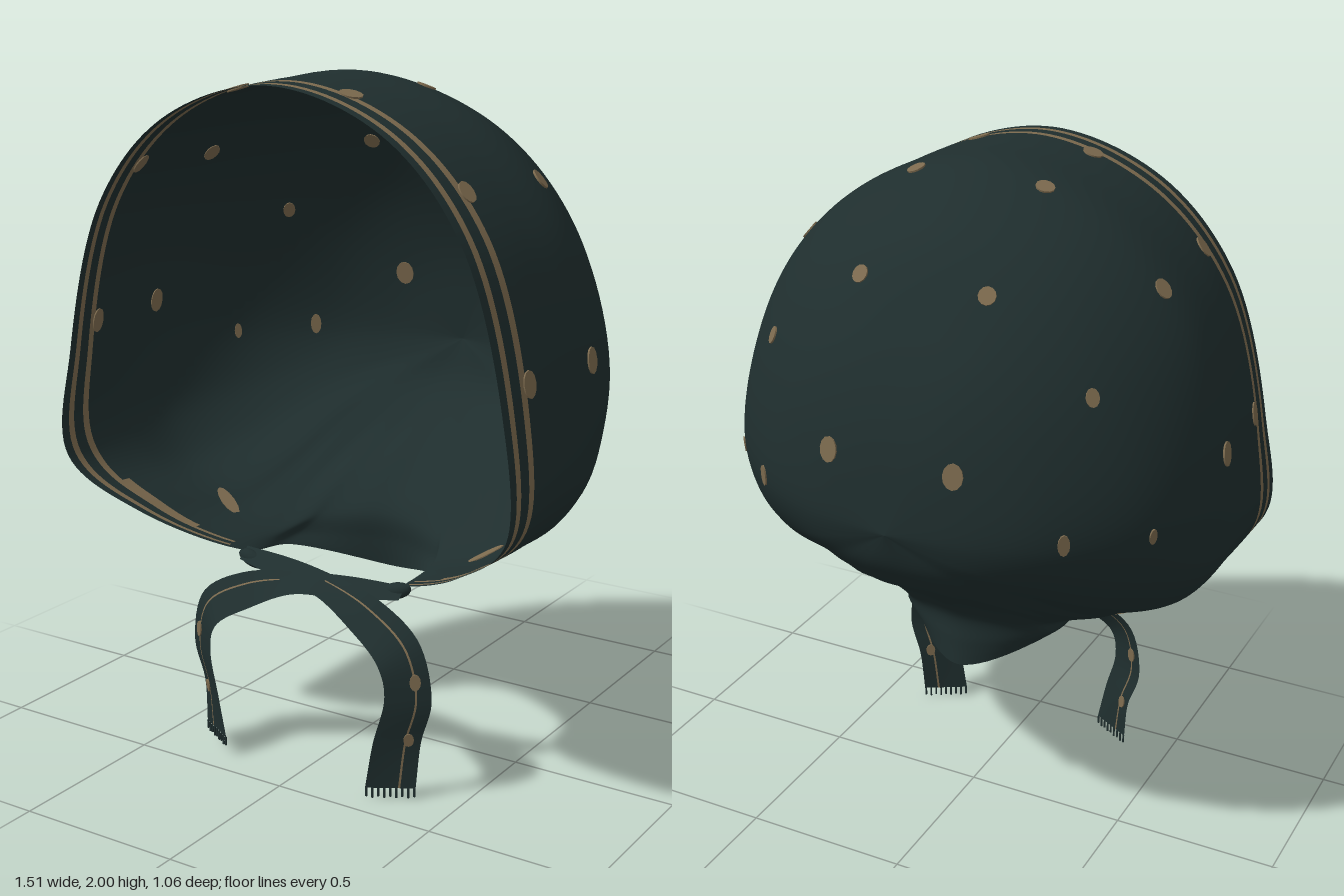
import * as THREE from 'three';

const V = (a) => new THREE.Vector3(...a);

// Half loops of the hood, from crown (x = 0) down the +x side to the nape
const LOOPS = [
  // face edge and neck hem
  [[0, 1.99, .515], [.35, 1.885, .515], [.58, 1.64, .515], [.712, 1.2, .515], [.732, .88, .522], [.54, .72, .44], [.28, .6, .28], [.24, .565, .08], [0, .485, -.11]],
  [[0, 2, .27], [.375, 1.885, .27], [.625, 1.62, .27], [.74, 1.18, .27], [.722, .87, .27], [.52, .7, .25], [.29, .61, .2], [.24, .585, .03], [0, .56, -.105]],
  [[0, 1.995, .04], [.38, 1.88, .03], [.64, 1.6, .02], [.748, 1.15, .02], [.69, .84, .05], [.46, .69, .08], [.3, .63, .07], [.2, .64, -.04], [0, .65, -.105]],
  [[0, 1.875, -.22], [.33, 1.79, -.2], [.54, 1.54, -.22], [.65, 1.14, -.22], [.58, .88, -.16], [.4, .76, -.1], [.3, .71, -.09], [.17, .74, -.16], [0, .76, -.21]],
  [[0, 1.655, -.38], [.22, 1.6, -.39], [.38, 1.42, -.4], [.45, 1.12, -.405], [.42, .97, -.35], [.31, .9, -.32], [.22, .88, -.34], [.12, .88, -.37], [0, .89, -.39]],
];
const POLE = [0, 1.12, -.53];

// Spots on the hood, mirrored in x: position, half width, half height
const SPOTS = [
  [.195, 1.77, -.31, .025, .026], [.5, 1.53, -.29, .019, .026], [.46, 1.14, -.38, .017, .032], [.19, 1.32, -.49, .029, .037],
  [.2, 1.97, .035, .027, .027], [.56, 1.74, .03, .026, .03], [.75, 1.27, .08, .026, .037], [.63, 1.13, -.2, .012, .024],
  [.18, 1.96, .39, .035, .03], [.53, 1.74, .39, .026, .032], [.75, 1.27, .39, .026, .037], [.45, .68, .12, .022, .06],
];

// Tie: centre x, y, z and half-width vector x, y, z
const TIE = [
  [-.28, .59, .275, 0, .015, -.02],
  [-.1, .58, .305, 0, .022, -.034],
  [.05, .567, .33, .01, .022, -.034],
  [.2, .522, .36, .03, .04, -.03],
  [.325, .44, .382, .048, .032, -.034],
  [.358, .31, .38, .056, 0, -.035],
  [.325, .17, .385, .055, 0, -.04],
  [.307, .03, .39, .062, 0, -.036],
];

// Grid surface with a second material on the cells where isTrim(i, j) holds
function buildSheet(points, nu, nv, wrap, isTrim, materials) {
  const cloth = [], trim = [];
  const id = (i, j) => j * nu + (wrap ? i % nu : i);
  for (let j = 0; j < nv - 1; j++) {
    for (let i = 0; i < (wrap ? nu : nu - 1); i++) {
      const a = id(i, j), b = id(i + 1, j), c = id(i, j + 1), d = id(i + 1, j + 1);
      (isTrim(i, j) ? trim : cloth).push(a, b, c, b, d, c);
    }
  }
  const g = new THREE.BufferGeometry().setFromPoints(points);
  g.setIndex([...cloth, ...trim]);
  g.addGroup(0, cloth.length, 0);
  g.addGroup(cloth.length, trim.length, 1);
  g.computeVertexNormals();
  return new THREE.Mesh(g, materials);
}

// Thin oval disc laid through a sheet so that it shows on both sides
function addSpot(group, sheet, target, width, height, material) {
  const pos = sheet.geometry.attributes.position, nor = sheet.geometry.attributes.normal;
  const p = new THREE.Vector3();
  let best = 0, min = Infinity;
  for (let i = 0; i < pos.count; i++) {
    const d = p.fromBufferAttribute(pos, i).distanceToSquared(target);
    if (d < min) { min = d; best = i; }
  }
  p.fromBufferAttribute(pos, best);
  const n = new THREE.Vector3().fromBufferAttribute(nor, best).normalize();
  const centre = target.clone().addScaledVector(n, -target.clone().sub(p).dot(n));
  const g = new THREE.CylinderGeometry(1, 1, .008, 12).rotateX(Math.PI / 2).scale(width, height, 1);
  const spot = new THREE.Mesh(g, material);
  spot.name = 'spot';
  spot.position.copy(centre);
  spot.lookAt(centre.clone().add(n));
  group.add(spot);
}

function buildHood(materials) {
  const inner = LOOPS[4].map((p) => [p[0] * .58, p[1] * .55 + POLE[1] * .45, p[2] * .32 + POLE[2] * .68]);
  const curves = [...LOOPS, inner].map((half) => {
    const other = half.slice(1, -1).reverse().map(([x, y, z]) => [-x, y, z]);
    return new THREE.CatmullRomCurve3([...half, ...other].map(V), true);
  });
  // Rows across the edge are spaced to give the two stripes
  const rows = [0, .12, .21, .37, .47, .6, .82];
  for (let v = 1; v < 6; v += .125) rows.push(v);
  rows.push(6);
  const nu = 192, points = [];
  const columns = Array.from({ length: nu }, (_, i) =>
    new THREE.CatmullRomCurve3([...curves.map((c) => c.getPoint(i / nu)), V(POLE)]));
  for (const v of rows) {
    for (let i = 0; i < nu; i++) {
      const p = columns[i].getPoint(v / 6);
      // Soft gathers around the neck, fading upwards and backwards
      const fade = THREE.MathUtils.smoothstep(1.1 - p.y, 0, .5) * Math.min(1, v / 2) * (1 - THREE.MathUtils.smoothstep(v, 3, 4.8));
      const s = 1 + .014 * fade * Math.cos(i / nu * Math.PI * 2 * 18);
      points.push(p.set(p.x * s, p.y, p.z * s));
    }
  }
  const isTrim = (i, j) => {
    const u = Math.min(i + .5, nu - i - .5) * 16 / nu;
    // The inner stripe swells under each cheek
    return ((j === 1 || j === 3) && u < 5.85) || (j === 4 && u > 4.5 && u < 5.4);
  };
  const hood = buildSheet(points, nu, rows.length, true, isTrim, materials);
  hood.name = 'hood';
  return hood;
}

function buildTie(side, lift, materials) {
  const group = new THREE.Group();
  group.name = side > 0 ? 'leftTie' : 'rightTie';
  // One tie passes just under the other where they cross
  const data = TIE.map((r, i) => {
    const k = i / (TIE.length - 1), under = side < 0 ? .012 * (1 - k) : 0;
    return [r[0] * side, r[1] + lift * k ** 3 - under, r[2] + under, r[3] * side, r[4], r[5]];
  });
  const centre = new THREE.CatmullRomCurve3(data.map((r) => V(r.slice(0, 3))));
  const width = new THREE.CatmullRomCurve3(data.map((r) => V(r.slice(3))), false, 'catmullrom');
  const across = [-1, -.5, 0, .3, .39, .75, 1], steps = 48, points = [];
  for (let j = 0; j <= steps; j++) {
    const c = centre.getPoint(j / steps), w = width.getPoint(j / steps);
    for (const s of across) points.push(c.clone().addScaledVector(w, s));
  }
  const ribbon = buildSheet(points, across.length, steps + 1, false, (i, j) => i === 3 && j > 12, materials);
  ribbon.name = 'ribbon';
  group.add(ribbon);
  addSpot(group, ribbon, V([.375 * side, .36, .37]), .016, .024, materials[1]);
  addSpot(group, ribbon, V([.355 * side, .18, .37]), .015, .02, materials[1]);

  // Fringe of short threads
  const c = centre.getPoint(1), w = width.getPoint(1);
  for (let i = 0; i < 9; i++) {
    const length = .026 + .004 * (i % 2);
    const thread = new THREE.Mesh(new THREE.BoxGeometry(.005, length, .004), materials[0]);
    thread.name = 'fringeThread';
    thread.position.copy(c).addScaledVector(w, -.95 + i * .2375);
    thread.position.y -= length / 2;
    group.add(thread);
  }
  return group;
}

export function createModel() {
  const cloth = new THREE.MeshStandardMaterial({ color: 0x1f2e2e, side: THREE.DoubleSide });
  cloth.name = 'dark green cloth';
  const tan = new THREE.MeshStandardMaterial({ color: 0x7c6a4e, side: THREE.DoubleSide });
  tan.name = 'tan print';
  const materials = [cloth, tan];

  const model = new THREE.Group();
  model.name = 'headscarf';
  const hood = buildHood(materials);
  model.add(hood);

  const spots = new THREE.Group();
  spots.name = 'spots';
  model.add(spots);
  for (const side of [1, -1]) {
    for (const [x, y, z, w, h] of SPOTS) addSpot(spots, hood, V([x * side, y, z]), w, h, tan);
    model.add(buildTie(side, side > 0 ? 0 : .03, materials));

    // Flattened gather where the hood runs into the tie
    const gather = new THREE.Mesh(new THREE.SphereGeometry(1, 16, 10), cloth);
    gather.name = 'gather';
    gather.scale.set(.05, .024, .022);
    gather.position.set(.25 * side, .575, .27);
    gather.rotation.z = .3 * side;
    model.add(gather);
  }
  return model;
}
